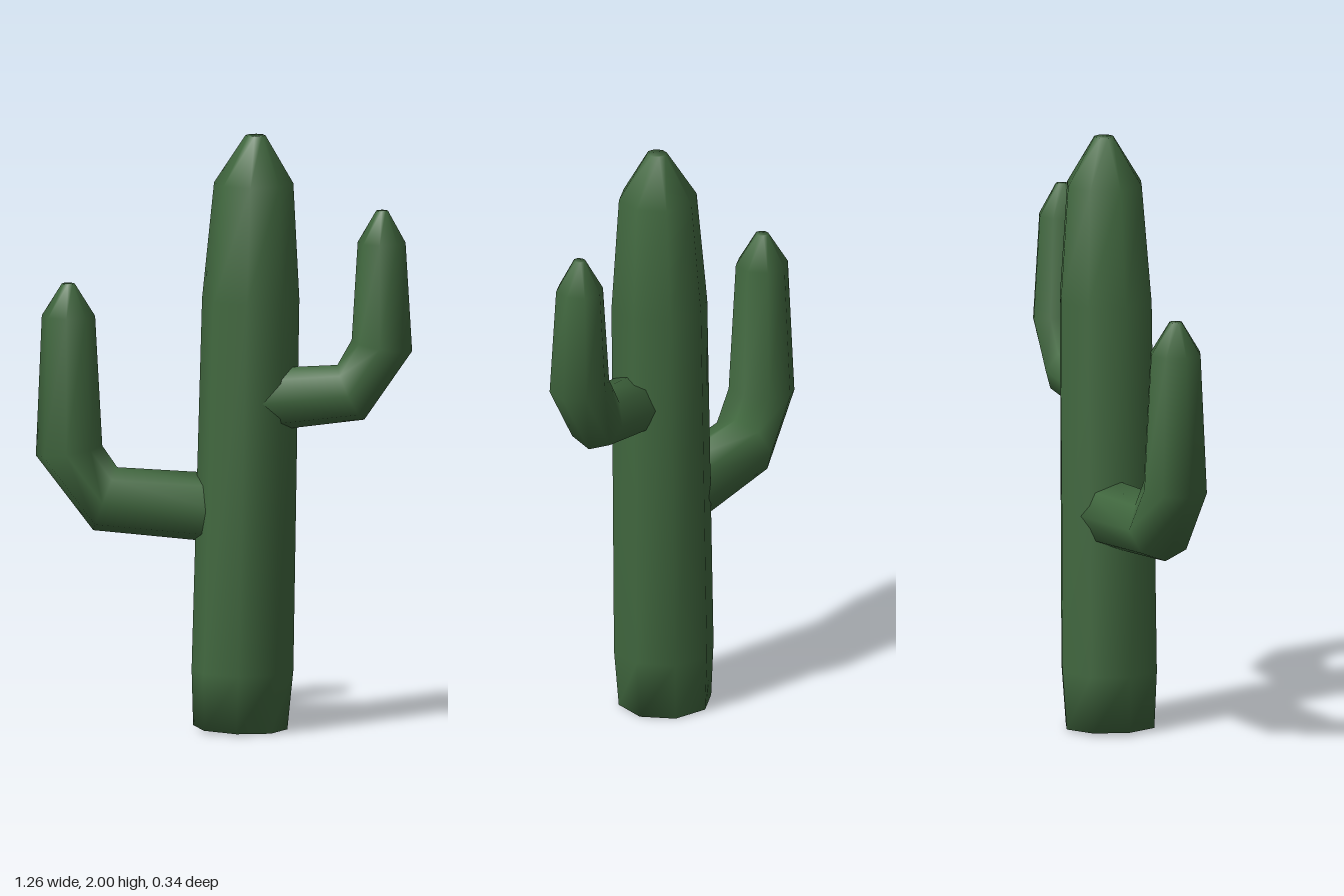
import * as THREE from 'three';

const SIDES = 8;

// Smooth closed tube through octagonal rings.
// Each ring: [ax, ay, bx, by, rz] = two opposite rim points in the xy plane and the half depth.
function loft(name, material, z, rings) {
  const pos = [], index = [];
  for (const [ax, ay, bx, by, rz] of rings) {
    for (let i = 0; i < SIDES; i++) {
      const t = (i / SIDES) * Math.PI * 2, c = Math.cos(t) / 2;
      pos.push((ax + bx) / 2 + (bx - ax) * c, (ay + by) / 2 + (by - ay) * c, z + rz * Math.sin(t));
    }
  }
  for (let r = 0; r < rings.length - 1; r++) {
    for (let i = 0; i < SIDES; i++) {
      const j = (i + 1) % SIDES, lo = r * SIDES, hi = lo + SIDES;
      index.push(lo + i, hi + i, lo + j, lo + j, hi + i, hi + j);
    }
  }
  // end caps share the rim vertices so the shading stays rounded
  const last = (rings.length - 1) * SIDES;
  for (let i = 1; i < SIDES - 1; i++) {
    index.push(0, i, i + 1);
    index.push(last, last + i + 1, last + i);
  }
  const geo = new THREE.BufferGeometry();
  geo.setAttribute('position', new THREE.Float32BufferAttribute(pos, 3));
  geo.setIndex(index);
  geo.computeVertexNormals();
  const mesh = new THREE.Mesh(geo, material);
  mesh.name = name;
  return mesh;
}

export function createModel() {
  const green = new THREE.MeshStandardMaterial({ color: 0x41683f });
  green.name = 'cactus green';
  const group = new THREE.Group();
  group.name = 'cactus';

  // leaning trunk, pinched at the base and pointed at the top
  group.add(loft('trunk', green, 0, [
    [-0.105, 0.01, 0.21, 0.0, 0.158],
    [-0.11, 0.2, 0.23, 0.2, 0.17],
    [-0.075, 1.45, 0.25, 1.45, 0.164],
    [-0.035, 1.84, 0.23, 1.84, 0.133],
    [0.07, 2.0, 0.137, 2.0, 0.034],
  ]));

  // low arm on the -x side
  group.add(loft('rightArm', green, -0.019, [
    [0.03, 0.62, 0.03, 0.855, 0.115],
    [-0.44, 0.66, -0.36, 0.873, 0.115],
    [-0.632, 0.91, -0.41, 0.945, 0.113],
    [-0.612, 1.382, -0.434, 1.382, 0.089],
    [-0.545, 1.49, -0.502, 1.49, 0.022],
  ]));

  // high arm on the +x side
  group.add(loft('leftArm', green, 0.037, [
    [0.11, 1.22, 0.11, 1.005, 0.104],
    [0.38, 1.235, 0.47, 1.052, 0.104],
    [0.428, 1.32, 0.63, 1.285, 0.102],
    [0.448, 1.65, 0.608, 1.65, 0.08],
    [0.51, 1.757, 0.549, 1.757, 0.02],
  ]));

  return group;
}
